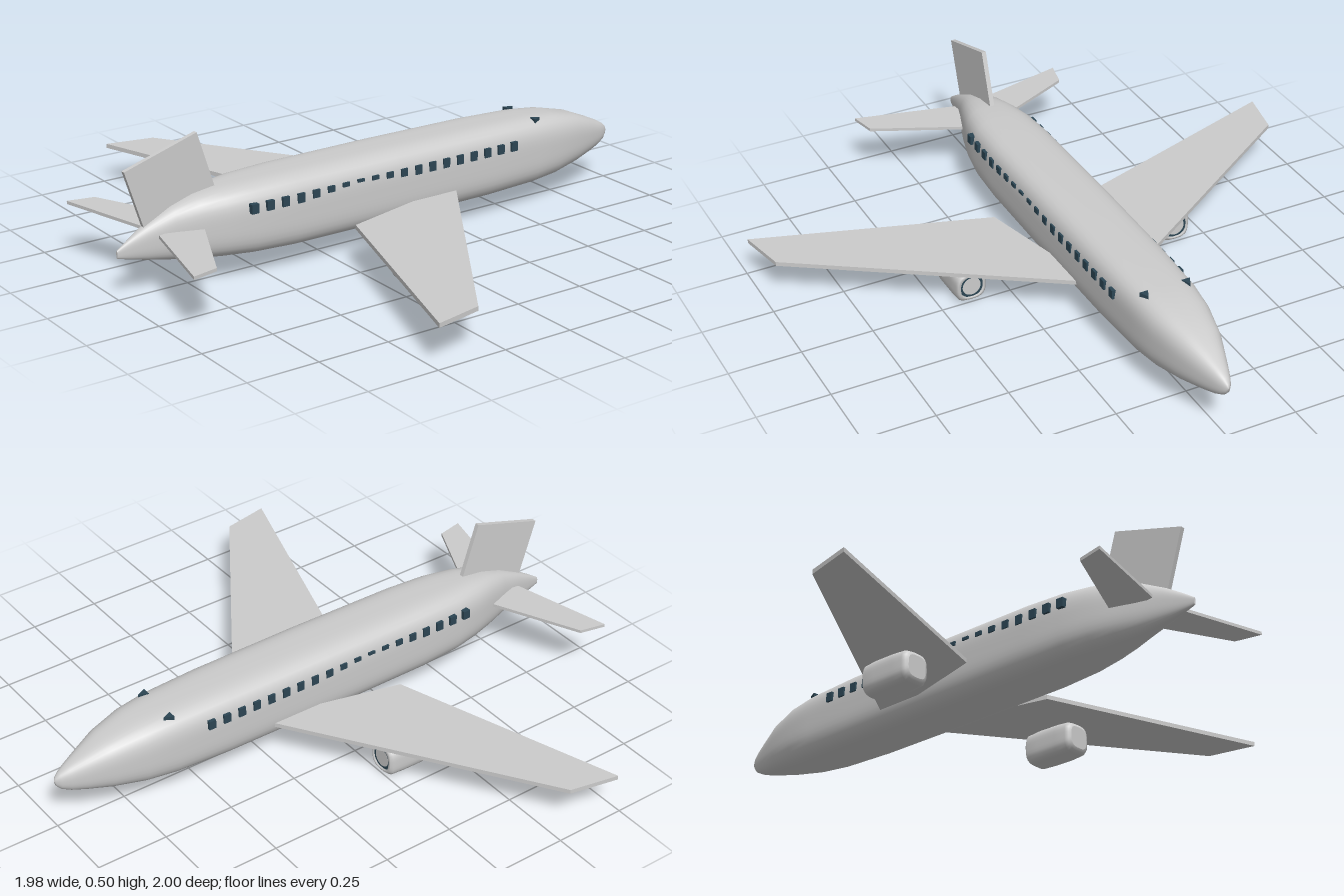
import * as THREE from 'three';

const grey = new THREE.MeshStandardMaterial({ color: 0xcccccc });
const glass = new THREE.MeshStandardMaterial({ color: 0x2c4654 });

function add(parent, name, geometry, material = grey) {
  const mesh = new THREE.Mesh(geometry, material);
  mesh.name = name;
  parent.add(mesh);
  return mesh;
}

// Smooth skin over rounded-square sections: [z, half width, bottom, top, squareness]
function loft(sections, sides = 48) {
  const pos = [], index = [];
  sections.forEach(([z, w, bottom, top, p], i) => {
    for (let j = 0; j < sides; j++) {
      const a = (j / sides) * Math.PI * 2, c = Math.cos(a), s = Math.sin(a);
      const r = (Math.abs(c) ** p + Math.abs(s) ** p) ** (-1 / p);
      pos.push(w * r * c, (top + bottom) / 2 + ((top - bottom) / 2) * r * s, z);
      if (i === sections.length - 1) continue;
      const k = (j + 1) % sides, m = i * sides, n = m + sides;
      index.push(m + j, m + k, n + j, m + k, n + k, n + j);
    }
  });
  const g = new THREE.BufferGeometry();
  g.setAttribute('position', new THREE.Float32BufferAttribute(pos, 3));
  g.setIndex(index);
  g.computeVertexNormals();
  return g;
}

function plate(points, depth) {
  const shape = new THREE.Shape(points.map(([a, b]) => new THREE.Vector2(a, b)));
  return new THREE.ExtrudeGeometry(shape, { depth, bevelEnabled: false });
}

// Horizontal plate from [x, z] corners, centred on height y
function flatPlate(points, y, thickness, side = 1) {
  const g = plate(points.map(([x, z]) => [x * side, z]), thickness);
  return g.rotateX(Math.PI / 2).translate(0, y + thickness / 2, 0);
}

export function createModel() {
  const plane = new THREE.Group();
  plane.name = 'airliner';

  // Fuselage, nose at -z
  add(plane, 'fuselage', loft([
    [-1, 0, 0.18, 0.18, 2.2],
    [-0.995, 0.009, 0.163, 0.194, 2.2],
    [-0.98, 0.02, 0.146, 0.208, 2.3],
    [-0.95, 0.034, 0.131, 0.225, 2.4],
    [-0.9, 0.053, 0.117, 0.248, 2.6],
    [-0.82, 0.082, 0.101, 0.281, 2.9],
    [-0.71, 0.107, 0.084, 0.306, 3.2],
    [-0.6, 0.118, 0.076, 0.316, 3.5],
    [-0.4, 0.124, 0.071, 0.321, 3.7],
    [0, 0.127, 0.07, 0.323, 3.7],
    [0.4, 0.125, 0.071, 0.321, 3.7],
    [0.55, 0.119, 0.076, 0.317, 3.5],
    [0.65, 0.103, 0.082, 0.311, 3.2],
    [0.73, 0.081, 0.089, 0.3, 3],
    [0.81, 0.053, 0.099, 0.275, 2.8],
    [0.9, 0.028, 0.115, 0.23, 2.6],
    [0.96, 0.013, 0.129, 0.193, 2.5],
    [1, 0.004, 0.14, 0.166, 2.5],
    [1, 0.004, 0.14, 0.166, 2.5],
    [1, 0, 0.153, 0.153, 2.5],
  ]));

  // Upright fin
  const fin = plate([[0.645, 0.31], [0.705, 0.5], [0.968, 0.42], [0.905, 0.222]], 0.016);
  add(plane, 'tailFin', fin.rotateY(-Math.PI / 2).translate(0.008, 0, 0));

  // Engine pod with rounded rear and recessed intake facing -z
  const pod = loft([
    [0.008, 0.04, 0.018, 0.098, 2.6],
    [0, 0.041, 0.017, 0.099, 2.6],
    [0.003, 0.048, 0.009, 0.107, 3],
    [0.012, 0.054, 0.003, 0.112, 3.6],
    [0.06, 0.056, 0.001, 0.115, 3.8],
    [0.14, 0.056, 0, 0.114, 3.8],
    [0.182, 0.054, 0.003, 0.111, 3.7],
    [0.195, 0.048, 0.009, 0.105, 3.5],
    [0.2, 0.038, 0.019, 0.095, 3.3],
    [0.2, 0.038, 0.019, 0.095, 3.3],
    [0.2, 0, 0.057, 0.057, 3.3],
  ], 32);
  const intake = new THREE.RingGeometry(0.032, 0.043, 32).rotateY(Math.PI);
  const fan = new THREE.CircleGeometry(0.033, 32).rotateY(Math.PI);

  for (const side of [1, -1]) {
    const label = side > 0 ? 'left' : 'right';

    // Swept wing and tailplane
    add(plane, label + 'Wing', flatPlate(
      [[0.07, -0.27], [0.955, 0.32], [0.99, 0.49], [0.195, 0.23]], 0.135, 0.015, side));
    add(plane, label + 'Tailplane', flatPlate(
      [[0.02, 0.7], [0.38, 0.868], [0.4, 0.96], [0.045, 0.873]], 0.198, 0.011, side));

    const engine = new THREE.Group();
    engine.name = label + 'Engine';
    engine.position.x = side * 0.389;
    add(engine, 'pod', pod);
    add(engine, 'intakeRing', intake, glass).position.set(0, 0.058, 0.006);
    add(engine, 'fanDisc', fan).position.set(0, 0.058, 0.005);
    plane.add(engine);

    // Cabin windows, sinking into the widest part of the body
    const windows = new THREE.Group();
    windows.name = label + 'CabinWindows';
    for (let i = 0; i < 19; i++) {
      const z = 0.568 - i * 0.0583;
      const h = THREE.MathUtils.clamp(0.008 + Math.abs(z - 0.16) * 0.11, 0.01, 0.032);
      const pane = add(windows, 'window', new THREE.BoxGeometry(0.02, h, 0.026), glass);
      pane.position.set(side * 0.119, 0.266 - h / 2, z);
    }
    plane.add(windows);

    // Cockpit pane on the shoulder of the nose
    add(plane, label + 'CockpitWindow', flatPlate(
      [[0.06, -0.6], [0.075, -0.632], [0.09, -0.6]], 0.302, 0.026, side), glass);
  }
  return plane;
}
